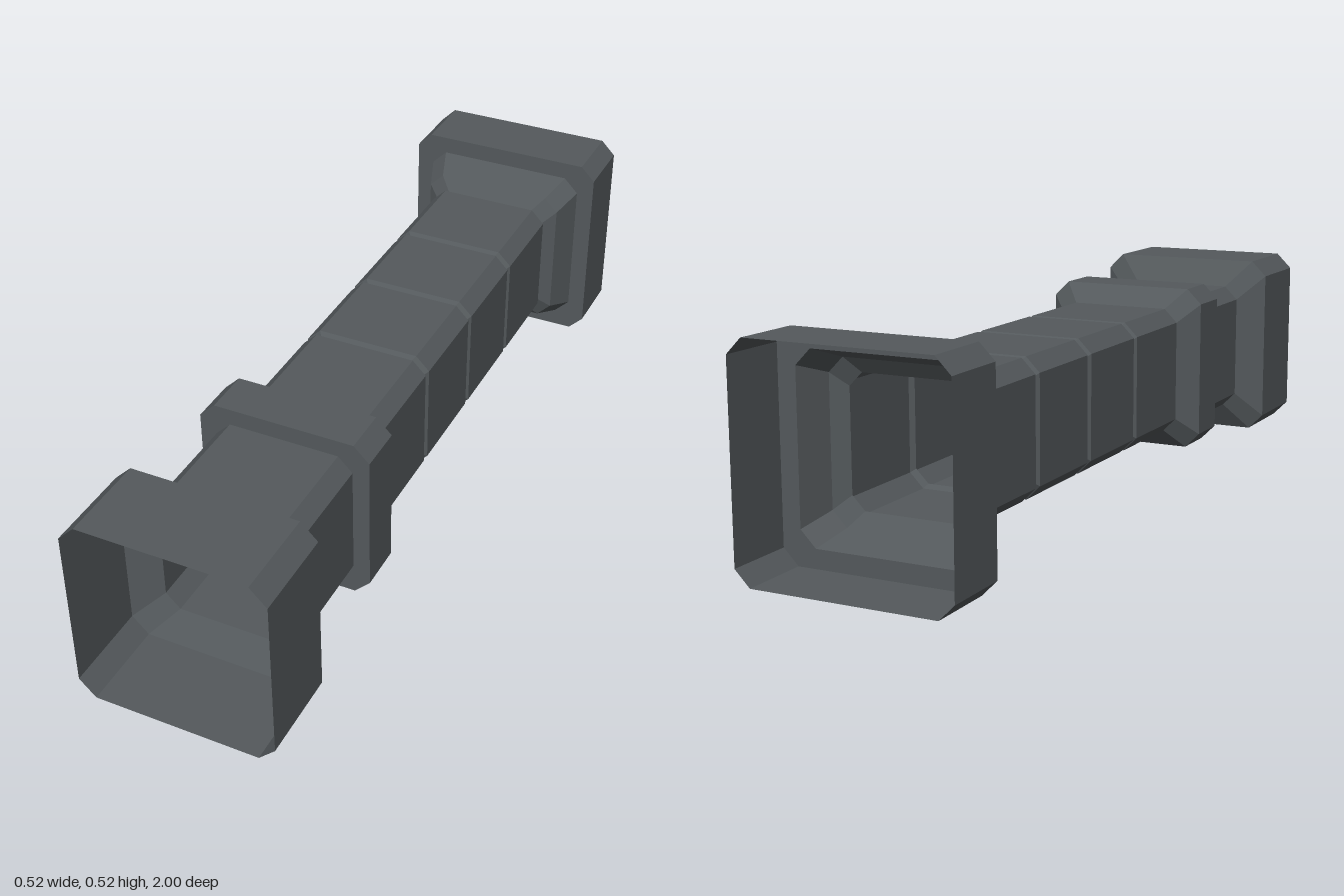
import * as THREE from 'three';

const CENTRE_Y = 0.26;

// Square with cut corners, counter-clockwise seen from the front
function ring([z, h, c]) {
  const k = h - c;
  return [[h, -k], [h, k], [k, h], [-k, h], [-h, k], [-h, -k], [-k, -h], [k, -h]]
    .map(([x, y]) => [x, y + CENTRE_Y, z]);
}

// Flat-shaded open shell through stations [z, half width, corner cut], front to back
function shell(name, stations, material) {
  const pos = [];
  for (let s = 0; s < stations.length - 1; s++) {
    const a = ring(stations[s]), b = ring(stations[s + 1]);
    for (let i = 0; i < 8; i++) {
      const j = (i + 1) % 8;
      pos.push(...a[i], ...b[i], ...b[j], ...a[i], ...b[j], ...a[j]);
    }
  }
  const geo = new THREE.BufferGeometry();
  geo.setAttribute('position', new THREE.Float32BufferAttribute(pos, 3));
  geo.computeVertexNormals();
  const mesh = new THREE.Mesh(geo, material);
  mesh.name = name;
  return mesh;
}

export function createModel() {
  const group = new THREE.Group();
  group.name = 'corridor';
  const metal = new THREE.MeshStandardMaterial({ color: 0x54595c, side: THREE.DoubleSide });
  metal.name = 'darkGreyMetal';
  const add = (name, stations) => group.add(shell(name, stations, metal));

  // Front mouth and its tapered shoulder
  add('frontMouth', [[1, 0.24, 0.04], [0.785, 0.24, 0.04], [0.745, 0.17, 0.035]]);
  add('frontNeck', [[0.745, 0.17, 0.035], [0.485, 0.17, 0.035]]);

  // Raised collar: upright front face, sloped back
  add('collar', [[0.485, 0.17, 0.035], [0.485, 0.211, 0.038], [0.37, 0.211, 0.038], [0.325, 0.162, 0.034]]);

  // Four tube sections parted by shallow grooves
  const start = 0.325, pitch = 0.2625, bevel = 0.01;
  for (let i = 0; i < 4; i++) {
    const z0 = start - i * pitch, z1 = z0 - pitch;
    const stations = [];
    if (i > 0) stations.push([z0, 0.152, 0.032], [z0 - bevel, 0.162, 0.034]);
    else stations.push([z0, 0.162, 0.034]);
    stations.push([z1 + bevel, 0.162, 0.034], [z1, 0.152, 0.032]);
    add('tubeSection' + (i + 1), stations);
  }

  // Flare and rear mouth
  const end = start - 4 * pitch;
  add('rearFlare', [[end, 0.152, 0.032], [-0.75, 0.187, 0.036], [-0.83, 0.215, 0.038]]);
  add('rearMouth', [[-0.83, 0.215, 0.038], [-0.83, 0.26, 0.037], [-1, 0.26, 0.037]]);

  return group;
}
